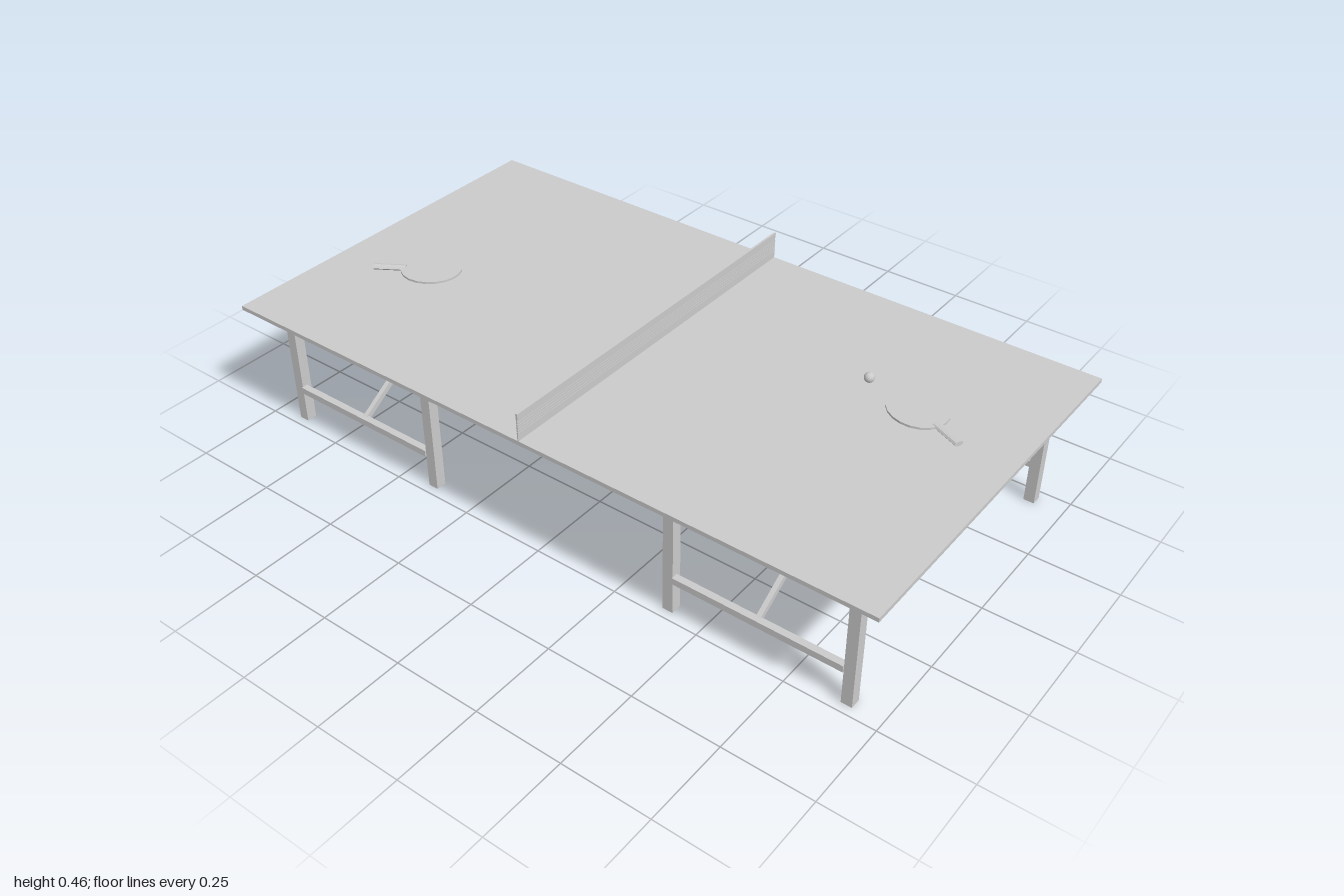
import * as THREE from 'three';

const grey = new THREE.MeshStandardMaterial({ color: 0xcccccc });
const flatGrey = new THREE.MeshStandardMaterial({ color: 0xcccccc, flatShading: true });

function add(parent, name, geometry, x, y, z, material = grey) {
  const mesh = new THREE.Mesh(geometry, material);
  mesh.name = name;
  mesh.position.set(x, y, z);
  parent.add(mesh);
  return mesh;
}

// Two legs, a low rail and a slanted brace; side is +1 at the front, -1 at the back
function makeLegFrame(end, side) {
  const frame = new THREE.Group();
  frame.name = 'legFrame';
  for (const x of [0.395, 0.905]) {
    add(frame, 'leg', new THREE.BoxGeometry(0.03, 0.368, 0.03), end * x, 0.184, side * 0.459);
  }
  add(frame, 'rail', new THREE.BoxGeometry(0.48, 0.019, 0.02), end * 0.65, 0.107, side * 0.468);

  const foot = new THREE.Vector3(end * 0.65, 0.107, side * 0.464);
  const head = new THREE.Vector3(end * 0.65, 0.369, side * 0.073);
  const middle = foot.clone().add(head).multiplyScalar(0.5);
  const brace = add(frame, 'brace', new THREE.BoxGeometry(0.013, 0.016, foot.distanceTo(head)),
    middle.x, middle.y, middle.z);
  brace.lookAt(head);
  return frame;
}

// Paddle lying flat, handle pointing along +x before it is turned
function makePaddle(x, y, z, turn) {
  const paddle = new THREE.Group();
  paddle.name = 'paddle';
  const blade = new THREE.CylinderGeometry(1, 1, 0.006, 20);
  blade.scale(0.086, 1, 0.077);
  add(paddle, 'blade', blade, 0, 0, 0, flatGrey);
  const handle = new THREE.CylinderGeometry(0.5, 0.5, 0.09, 8);
  handle.rotateZ(Math.PI / 2);
  handle.scale(1, 0.014, 0.026);
  add(paddle, 'handle', handle, 0.117, 0, 0, flatGrey);
  paddle.position.set(x, y, z);
  paddle.rotation.y = turn;
  return paddle;
}

export function createModel() {
  const table = new THREE.Group();
  table.name = 'tableTennisTable';

  add(table, 'tableTop', new THREE.BoxGeometry(2, 0.012, 1.096), 0, 0.374, 0);

  // Net: thin sheet with a top band and horizontal cords
  add(table, 'net', new THREE.BoxGeometry(0.003, 0.079, 1.096), 0, 0.4195, 0);
  add(table, 'netBand', new THREE.BoxGeometry(0.006, 0.016, 1.096), 0, 0.452, 0);
  for (let i = 0; i < 5; i++) {
    add(table, 'netCord', new THREE.BoxGeometry(0.005, 0.003, 1.096), 0, 0.402 + i * 0.008, 0);
  }

  for (const end of [-1, 1]) {
    for (const side of [-1, 1]) table.add(makeLegFrame(end, side));
  }

  table.add(makePaddle(0.705, 0.397, -0.13, -0.42));
  table.add(makePaddle(-0.708, 0.397, 0.113, Math.PI + 0.56));
  add(table, 'ball', new THREE.SphereGeometry(0.014, 16, 12), 0.55, 0.411, -0.155);

  return table;
}
